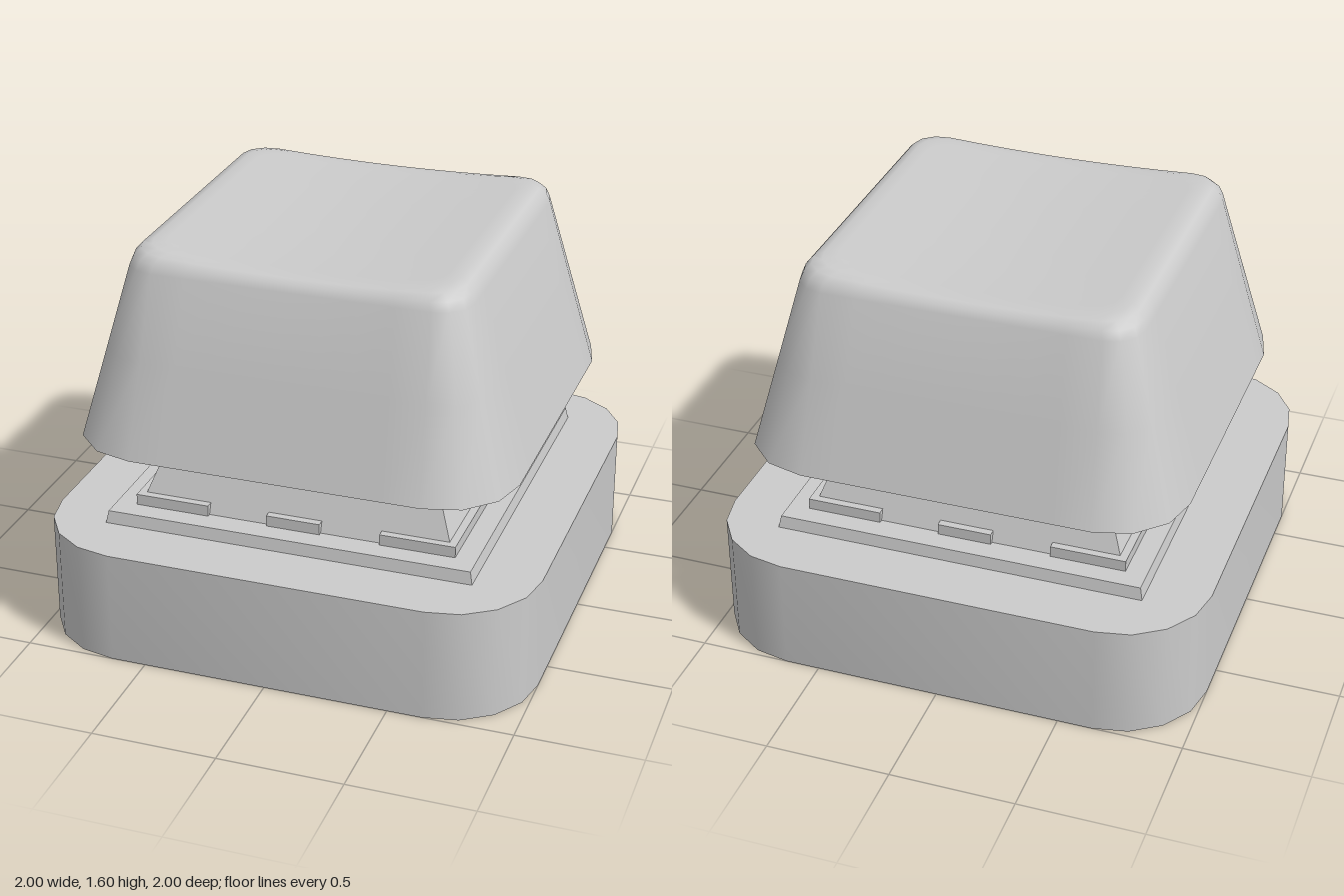
import * as THREE from 'three';
import { toCreasedNormals } from 'three/addons/utils/BufferGeometryUtils.js';

const material = new THREE.MeshStandardMaterial({ color: 0xcccccc });

function addMesh(parent, name, geometry, x = 0, y = 0, z = 0) {
  const mesh = new THREE.Mesh(geometry, material);
  mesh.name = name;
  mesh.position.set(x, y, z);
  parent.add(mesh);
  return mesh;
}

// Rounded square outline as [x, z] pairs: each corner arc followed by a divided straight side
function roundedSquare(half, radius, arcSteps, sideSteps) {
  const points = [];
  const c = half - radius;
  for (let k = 0; k < 4; k++) {
    const cos = Math.round(Math.cos(k * Math.PI / 2)), sin = Math.round(Math.sin(k * Math.PI / 2));
    const put = (x, z) => points.push([x * cos - z * sin, x * sin + z * cos]);
    for (let i = 0; i <= arcSteps; i++) {
      const a = (i / arcSteps) * Math.PI / 2;
      put(c + radius * Math.cos(a), c + radius * Math.sin(a));
    }
    for (let i = 1; i < sideSteps; i++) put(c - 2 * c * i / sideSteps, half);
  }
  return points;
}

// Skin over rounded square sections; dish lowers the middle of x to form the finger hollow
function loft(sections) {
  const positions = [], index = [];
  let count = 0;
  sections.forEach(([y, half, radius, dish = 0], s) => {
    const ring = roundedSquare(half, radius, 3, 8);
    count = ring.length;
    for (const [x, z] of ring) positions.push(x, y - dish * (1 - (x / 0.61) ** 2), z);
    if (s === 0) return;
    for (let i = 0; i < count; i++) {
      const j = (i + 1) % count, lo = (s - 1) * count, hi = s * count;
      index.push(lo + i, hi + i, lo + j, lo + j, hi + i, hi + j);
    }
  });
  const geometry = new THREE.BufferGeometry();
  geometry.setAttribute('position', new THREE.Float32BufferAttribute(positions, 3));
  geometry.setIndex(index);
  return toCreasedNormals(geometry, 0.65);
}

// Square block whose top and bottom have different half widths
function taperedBlock(bottomHalf, topHalf, height) {
  const geometry = new THREE.CylinderGeometry(topHalf * Math.SQRT2, bottomHalf * Math.SQRT2, height, 4);
  geometry.rotateY(Math.PI / 4);
  return toCreasedNormals(geometry, 0.3);
}

export function createModel() {
  const model = new THREE.Group();
  model.name = 'keySwitch';

  // Base block with rounded corners
  const outline = new THREE.Shape(roundedSquare(1, 0.36, 4, 1).map(([x, z]) => new THREE.Vector2(x, z)));
  const base = new THREE.ExtrudeGeometry(outline, { depth: 0.465, bevelEnabled: false });
  base.rotateX(-Math.PI / 2);
  addMesh(model, 'base', toCreasedNormals(base, 0.6));

  // Mounting plate and tapered housing
  addMesh(model, 'plate', taperedBlock(0.755, 0.745, 0.05), 0, 0.49);
  addMesh(model, 'housing', taperedBlock(0.645, 0.49, 0.415), 0, 0.7225);

  // Clips around the foot of the housing
  const clips = new THREE.Group();
  clips.name = 'clips';
  model.add(clips);
  for (const sz of [-1, 1]) {
    addMesh(clips, 'middleClip', new THREE.BoxGeometry(0.22, 0.045, 0.1), 0, 0.5375, sz * 0.61);
    for (const sx of [-1, 1]) {
      addMesh(clips, 'cornerClip', new THREE.BoxGeometry(0.305, 0.045, 0.525), sx * 0.5075, 0.5375, sz * 0.3975);
    }
  }

  // Keycap: recess under it, rim, sloping sides, rounded shoulder and dished top
  addMesh(model, 'keycap', loft([
    [0.93, 0, 0],
    [0.93, 0.69, 0.28],
    [0.83, 0.8, 0.28],
    [0.83, 0.885, 0.3],
    [1.2, 0.778, 0.21],
    [1.53, 0.683, 0.13],
    [1.565, 0.669, 0.125, 0.008],
    [1.592, 0.645, 0.12, 0.02],
    [1.604, 0.61, 0.11, 0.028],
    [1.606, 0.56, 0.1, 0.031],
    [1.606, 0.38, 0.06, 0.031],
    [1.606, 0.19, 0.03, 0.031],
    [1.606, 0, 0, 0.031],
  ]));

  return model;
}
